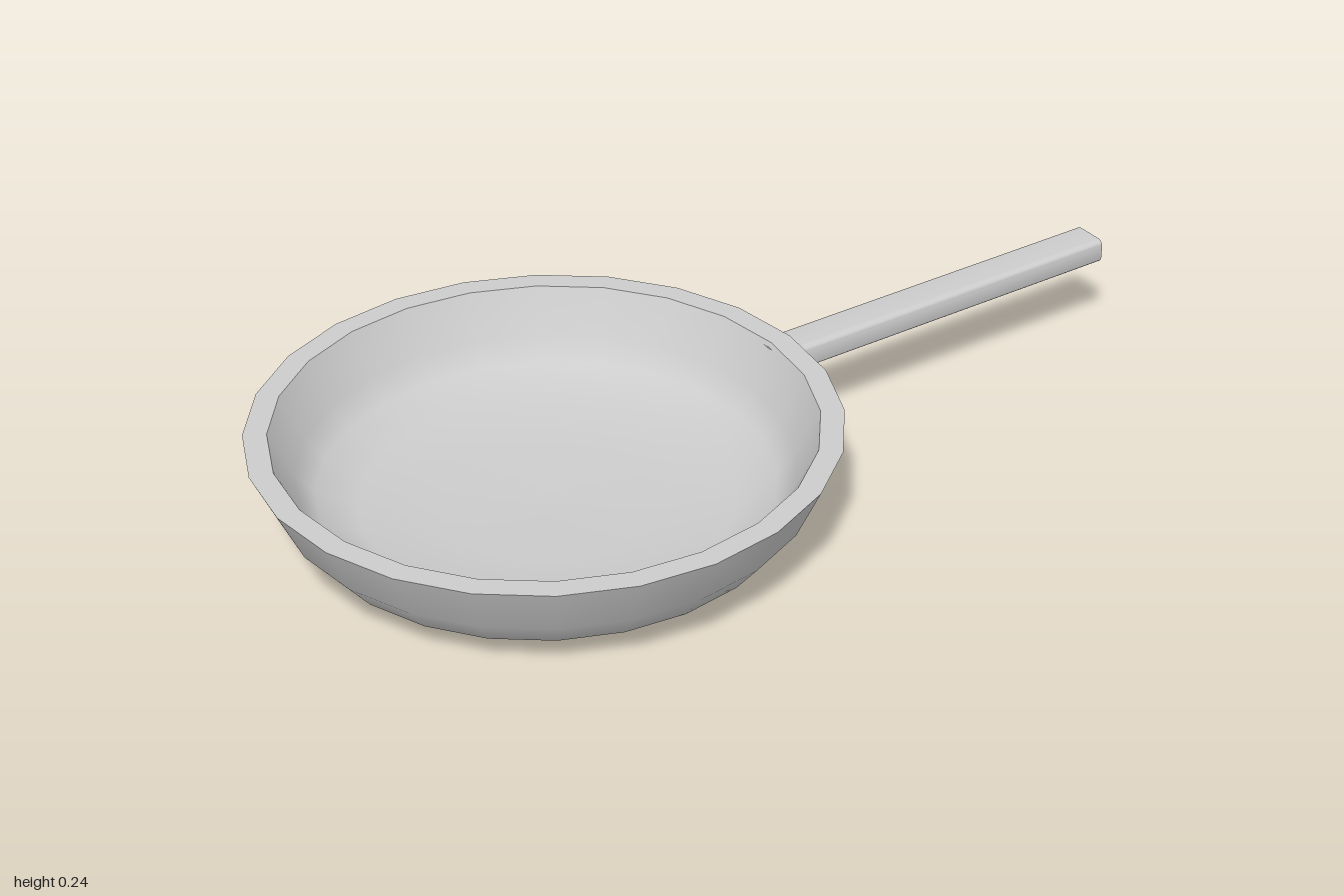
import * as THREE from 'three';
import { toCreasedNormals } from 'three/addons/utils/BufferGeometryUtils.js';

const PAN_X = -0.405;
const SIDES = 24;

export function createModel() {
  const model = new THREE.Group();
  model.name = 'fryingPan';
  const material = new THREE.MeshStandardMaterial({ color: 0xcccccc });

  // Bowl: three lathes, so the rim edges stay sharp and the walls smooth
  const bowl = new THREE.Group();
  bowl.name = 'bowl';
  bowl.position.x = PAN_X;
  const profiles = {
    outerWall: [[0, 0], [0.22, 0.006], [0.395, 0.025], [0.495, 0.068], [0.545, 0.13], [0.595, 0.24]],
    rim: [[0.595, 0.24], [0.547, 0.24]],
    innerWall: [[0.547, 0.24], [0.5, 0.148], [0.462, 0.1], [0.38, 0.068], [0.215, 0.052], [0, 0.047]],
  };
  for (const [name, points] of Object.entries(profiles)) {
    const profile = points.map(([r, y]) => new THREE.Vector2(r, y));
    const part = new THREE.Mesh(new THREE.LatheGeometry(profile, SIDES), material);
    part.name = name;
    bowl.add(part);
  }
  model.add(bowl);

  // Handle: straight bar with a rounded rectangular section, sunk into the wall
  const w = 0.043, h = 0.0275, r = 0.014;
  const section = new THREE.Shape();
  section.absarc(w - r, h - r, r, 0, Math.PI / 2);
  section.absarc(-w + r, h - r, r, Math.PI / 2, Math.PI);
  section.absarc(-w + r, -h + r, r, Math.PI, Math.PI * 1.5);
  section.absarc(w - r, -h + r, r, Math.PI * 1.5, Math.PI * 2);
  section.closePath();
  const start = 0.135;
  const bar = new THREE.ExtrudeGeometry(section, { depth: 1 - start, bevelEnabled: false, curveSegments: 3 });
  bar.rotateY(Math.PI / 2);
  const handle = new THREE.Mesh(toCreasedNormals(bar, 0.7), material);
  handle.name = 'handle';
  handle.position.set(start, 0.2025, 0);
  model.add(handle);

  return model;
}
